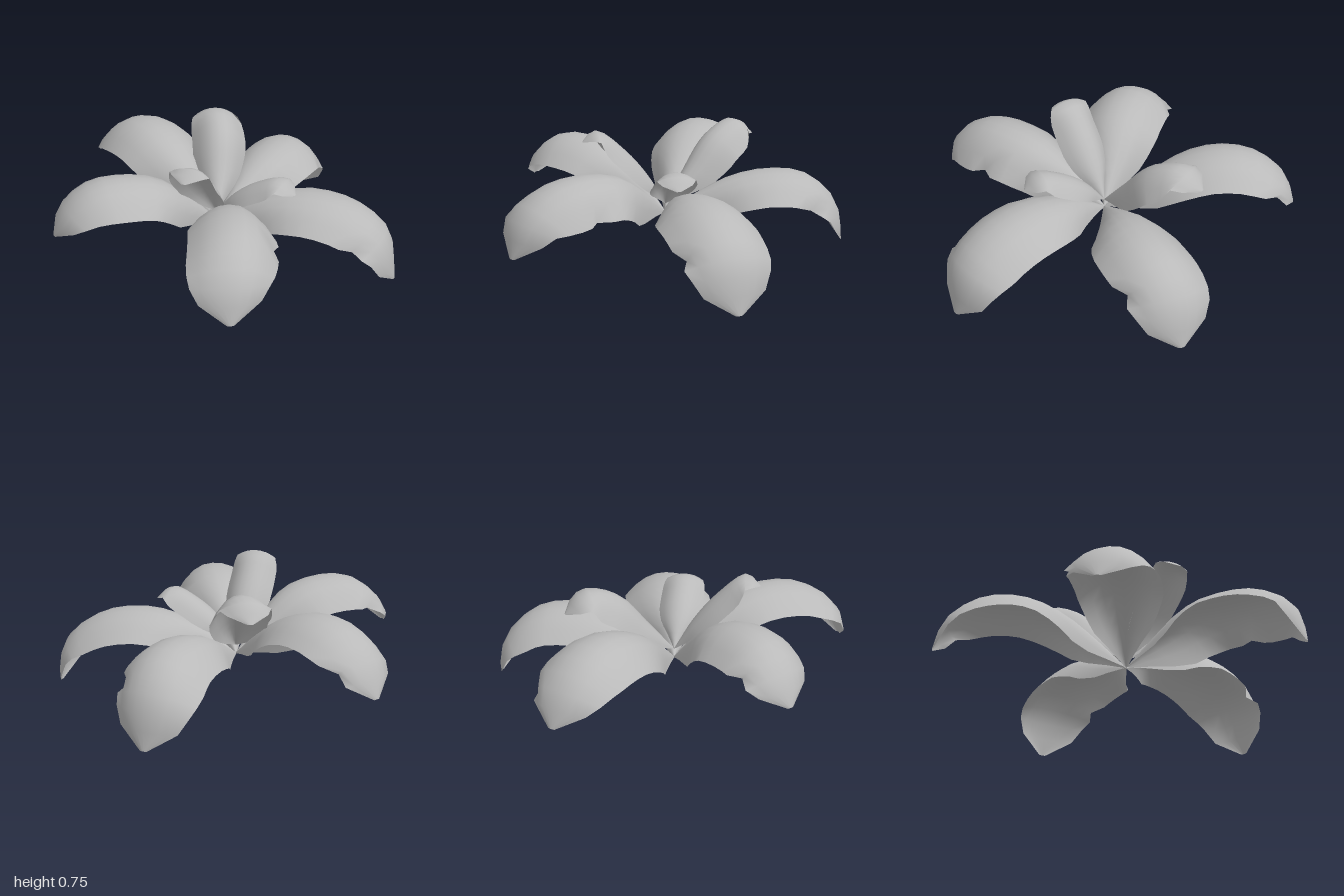
import * as THREE from 'three';

// Half width along the petal, as fractions of the widest point
const OUTLINE_AT = [0, 0.1, 0.25, 0.4, 0.55, 0.75, 0.88, 0.95, 1];
const OUTLINE = [0.02, 0.3, 0.76, 0.97, 1, 0.98, 0.83, 0.6, 0.08];

// Where along a petal its ridge heights are given
const OUTER_AT = [0.18, 0.37, 0.58, 0.78, 0.95, 1];
const INNER_AT = [0.22, 0.5, 0.82, 1];

// The point in plan where all petals meet
const HEART = new THREE.Vector3(-0.06, 0, -0.07);

function outlineAt(t) {
  const i = Math.max(1, OUTLINE_AT.findIndex(v => v >= t));
  const k = (t - OUTLINE_AT[i - 1]) / (OUTLINE_AT[i] - OUTLINE_AT[i - 1]);
  return THREE.MathUtils.lerp(OUTLINE[i - 1], OUTLINE[i], k);
}

// Ridge line from the heart to the tip, bowed sideways by bend
function ridgeCurve(axis, length, side, base, stations, heights, bend) {
  const points = [HEART.clone().setY(base)];
  stations.forEach((s, i) => points.push(HEART.clone()
    .addScaledVector(axis, length * s)
    .addScaledVector(side, bend * Math.sin(Math.PI * s))
    .setY(heights[i])));
  return new THREE.CatmullRomCurve3(points);
}

// Thin arched sheet swept along the ridge; both edges fall away from it.
// drops: fall of the left and right edge. notch: row and side where the rim is pulled in.
function petalGeometry({ tip, base, stations, heights, bend = 0, width, drops, throat, flatTip, notch = [-1, 0] }) {
  const rows = 14, cols = 8;
  const axis = new THREE.Vector3(tip[0], 0, tip[1]).sub(HEART);
  const length = axis.length();
  axis.normalize();
  const side = new THREE.Vector3(-axis.z, 0, axis.x);
  const curve = ridgeCurve(axis, length, side, base, stations, heights, bend);
  const positions = [], index = [];
  for (let i = 0; i <= rows; i++) {
    const t = i / rows, f = outlineAt(t);
    const centre = curve.getPointAt(t);
    const normal = new THREE.Vector3().crossVectors(side, curve.getTangentAt(t)).normalize();
    // Deep folds near the throat, flattening out towards the tip
    const fold = Math.max(f, t < 0.4 ? throat * Math.min(1, t / 0.18) : 0)
      * (1 - flatTip * THREE.MathUtils.smoothstep(t, 0.65, 1));
    for (let j = 0; j <= cols; j++) {
      const u = j / cols * 2 - 1;
      const w = width * f - (notch[0] === i && notch[1] === u ? 0.05 : 0);
      const drop = drops[u < 0 ? 0 : 1] * fold * Math.pow(Math.abs(u), 2.2);
      const p = centre.clone().addScaledVector(side, w * u).addScaledVector(normal, -drop);
      positions.push(p.x, Math.max(p.y, 0), p.z);
      if (i < rows && j < cols) {
        const a = i * (cols + 1) + j, b = a + cols + 1;
        index.push(a, a + 1, b, a + 1, b + 1, b);
      }
    }
  }
  const geometry = new THREE.BufferGeometry();
  geometry.setAttribute('position', new THREE.Float32BufferAttribute(positions, 3));
  geometry.setIndex(index);
  geometry.computeVertexNormals();
  return geometry;
}

export function createModel() {
  const group = new THREE.Group();
  group.name = 'flower';
  const petalGrey = new THREE.MeshStandardMaterial({ color: 0xbababa, side: THREE.DoubleSide });
  petalGrey.name = 'petal grey';

  const addPetal = (name, shape) => {
    const mesh = new THREE.Mesh(petalGeometry(shape), petalGrey);
    mesh.name = name;
    group.add(mesh);
  };
  const outer = (name, shape) => addPetal(name, { base: 0.24, stations: OUTER_AT, throat: 1, flatTip: 0.5, ...shape });
  const inner = (name, shape) => addPetal(name, { base: 0.29, stations: INNER_AT, throat: 0.6, flatTip: 0.8, ...shape });

  // Five large outer petals, curling down at the tips
  outer('frontPetal', { tip: [0.03, 0.995], heights: [0.41, 0.54, 0.58, 0.545, 0.41, 0.2],
    bend: -0.05, width: 0.245, drops: [0.2, 0.12], notch: [8, -1] });
  outer('leftPetal', { tip: [0.96, 0.18], heights: [0.38, 0.46, 0.475, 0.42, 0.27, 0],
    width: 0.26, drops: [0.14, 0.15], notch: [10, 1] });
  outer('rightPetal', { tip: [-0.96, 0.28], heights: [0.43, 0.57, 0.62, 0.6, 0.46, 0.32],
    bend: -0.04, width: 0.24, drops: [0.15, 0.15], notch: [11, 1] });
  outer('backRightPetal', { tip: [-0.73, -0.93], heights: [0.41, 0.55, 0.62, 0.59, 0.44, 0.28],
    bend: -0.01, width: 0.245, drops: [0.16, 0.12], notch: [12, 1] });
  outer('backLeftPetal', { tip: [0.46, -0.98], heights: [0.36, 0.455, 0.49, 0.455, 0.29, 0.04],
    bend: 0.05, width: 0.25, drops: [0.15, 0.15], notch: [10, 1] });

  // Three small inner petals, standing more upright
  inner('innerBackPetal', { tip: [-0.1, -0.7], heights: [0.46, 0.66, 0.72, 0.61],
    bend: 0.03, width: 0.16, drops: [0.14, 0.15] });
  inner('innerRightPetal', { tip: [-0.23, 0.38], heights: [0.47, 0.63, 0.745, 0.69],
    width: 0.135, drops: [0.09, 0.09] });
  inner('innerLeftPetal', { tip: [0.38, 0.15], heights: [0.43, 0.53, 0.585, 0.51],
    width: 0.125, drops: [0.08, 0.08] });

  return group;
}
